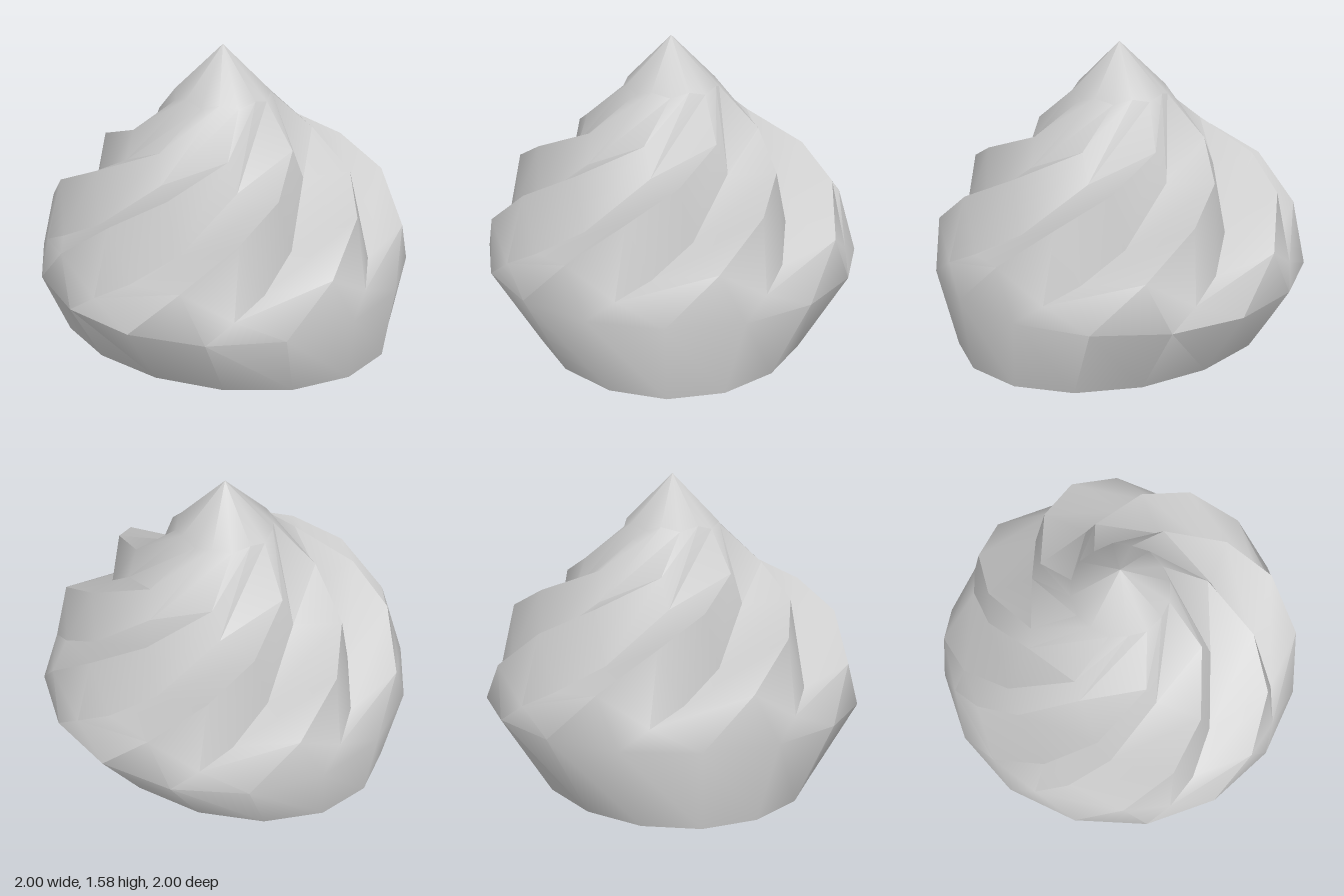
import * as THREE from 'three';
import { toCreasedNormals } from 'three/addons/utils/BufferGeometryUtils.js';

// Each level of the swirl: [angle in degrees, radius, height] for groove and crest
const LEVELS = [
  { groove: [1.5, 0.25, 1.31], crest: [24, 0.25, 1.335] },
  { groove: [57, 0.51, 0.97], crest: [62, 0.47, 1.12] },
  { groove: [82, 0.717, 0.72], crest: [87.5, 0.70, 0.99] },
  { groove: [96.6, 0.865, 0.59], crest: [104.8, 0.86, 0.86] },
  { groove: [106.7, 0.95, 0.5], crest: [122, 0.965, 0.65] },
  { groove: [114.8, 1, 0.4], crest: [137.3, 1, 0.4] },
];
const RIDGES = 8;

function polar([deg, r, y], turn, sx = 1, sz = 1) {
  const a = THREE.MathUtils.degToRad(deg + turn);
  return new THREE.Vector3(r * Math.cos(a) * sx, y, r * Math.sin(a) * sz);
}

function makeRing(level, sx, sz) {
  const ring = [];
  for (let k = 0; k < RIDGES; k++) {
    const turn = (k * 360) / RIDGES;
    ring.push(polar(level.groove, turn, sx, sz), polar(level.crest, turn, sx, sz));
  }
  return ring;
}

function meshFrom(points, name, material, crease) {
  const geometry = new THREE.BufferGeometry().setFromPoints(points);
  const mesh = new THREE.Mesh(toCreasedNormals(geometry, crease), material);
  mesh.name = name;
  return mesh;
}

export function createModel() {
  const group = new THREE.Group();
  group.name = 'swirl';
  const cream = new THREE.MeshStandardMaterial({ color: 0xcccccc });
  cream.name = 'pale grey';

  // Twisted rings, ending in an oval foot
  const rings = LEVELS.map((level) => makeRing(level));
  const foot = { groove: [114.8, 1, 0], crest: [137.3, 1, 0] };
  rings.push(makeRing(foot, 0.945, 0.735));

  const n = RIDGES * 2;
  const tip = new THREE.Vector3(0, 1.58, 0);
  const center = new THREE.Vector3(0, 0, 0);
  const body = [];
  const bottom = [];
  for (let j = 0; j < n; j++) {
    const i = (j + 1) % n;
    // Pointed peak
    body.push(tip, rings[0][i], rings[0][j]);
    // Ridges and grooves
    for (let l = 0; l < rings.length - 1; l++) {
      const up = rings[l];
      const down = rings[l + 1];
      body.push(down[j], up[j], up[i], down[j], up[i], down[i]);
    }
    // Flat underside
    const last = rings[rings.length - 1];
    bottom.push(center, last[j], last[i]);
  }
  group.add(meshFrom(body, 'swirledBody', cream, THREE.MathUtils.degToRad(48)));
  group.add(meshFrom(bottom, 'underside', cream, 0.5));
  return group;
}
